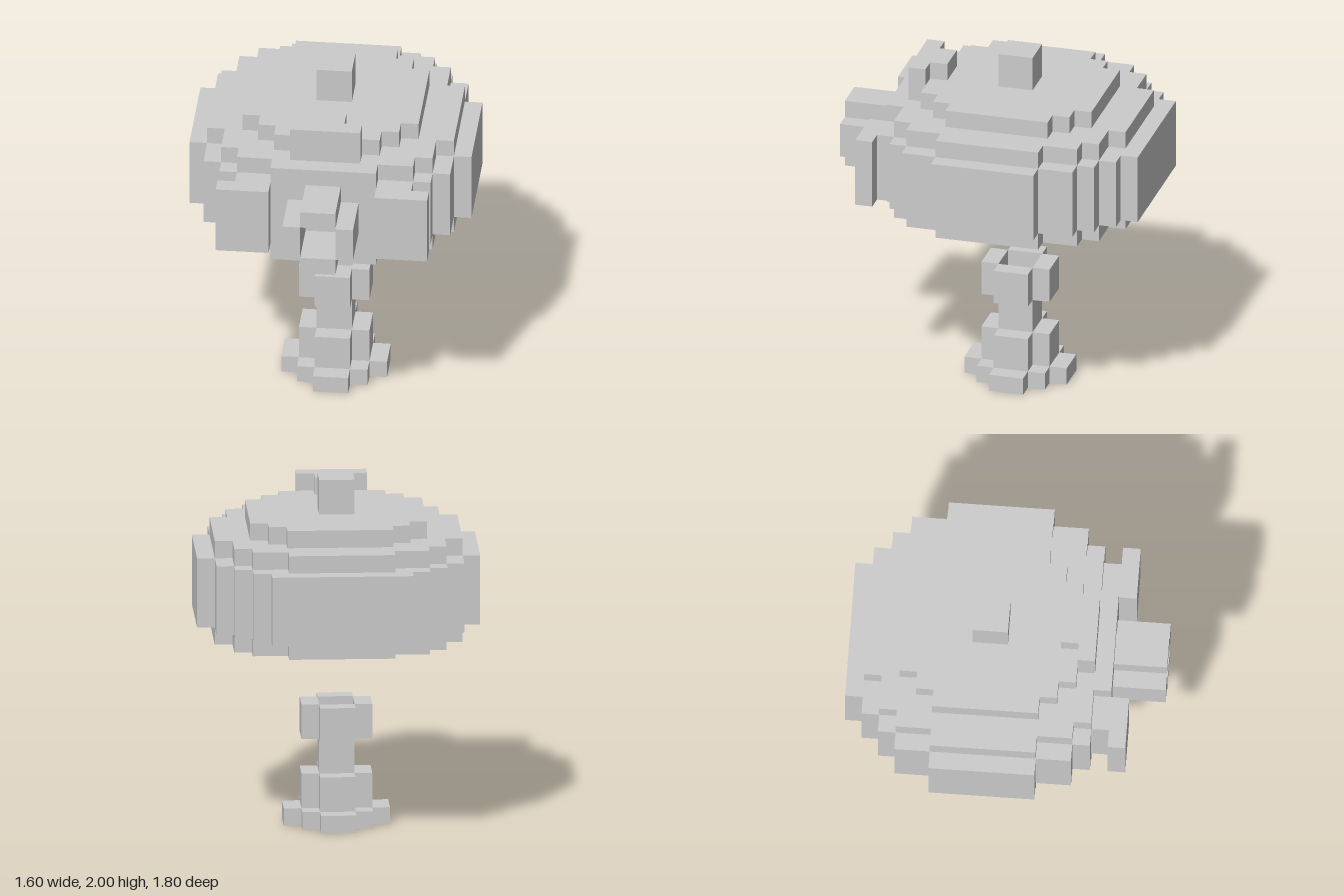
import * as THREE from 'three';

const grey = new THREE.MeshStandardMaterial({ color: 0xcccccc, flatShading: true });

// Stepped slab between heights y0 and y1. Each row is [z where it ends, half width].
function slab(name, y0, y1, zStart, rows) {
  const right = [], left = [];
  let z = zStart;
  for (const [zEnd, w] of rows) {
    right.push(new THREE.Vector2(w, -z), new THREE.Vector2(w, -zEnd));
    left.unshift(new THREE.Vector2(-w, -zEnd), new THREE.Vector2(-w, -z));
    z = zEnd;
  }
  const geo = new THREE.ExtrudeGeometry(new THREE.Shape([...right, ...left]), {
    depth: y1 - y0, bevelEnabled: false,
  });
  geo.rotateX(-Math.PI / 2).translate(0, y0, 0);
  const mesh = new THREE.Mesh(geo, grey);
  mesh.name = name;
  return mesh;
}

// Box given by its two opposite corners
function block(name, x0, x1, y0, y1, z0, z1) {
  const geo = new THREE.BoxGeometry(x1 - x0, y1 - y0, z1 - z0);
  geo.translate((x0 + x1) / 2, (y0 + y1) / 2, (z0 + z1) / 2);
  const mesh = new THREE.Mesh(geo, grey);
  mesh.name = name;
  return mesh;
}

// Four blocks around a square hole, running along +y from 0 to length
function blockRing(name, length) {
  const ring = new THREE.Group();
  ring.name = name;
  for (let i = 0; i < 4; i++) {
    const wall = block(name + 'Wall', 0.1, 0.2, 0, length, -0.1, 0.1);
    wall.rotation.y = (i * Math.PI) / 2;
    ring.add(wall);
  }
  return ring;
}

export function createModel() {
  const model = new THREE.Group();
  model.name = 'blockModel';

  // Stand: stepped foot, plinth, column and hollow cup
  model.add(slab('foot', 0, 0.1, -0.4, [[-0.3, 0.1], [-0.2, 0.2], [0, 0.3], [0.1, 0.2], [0.2, 0.1]]));
  model.add(slab('plinth', 0.1, 0.3, -0.3, [[-0.2, 0.1], [0, 0.2], [0.1, 0.1]]));
  model.add(block('column', -0.1, 0.1, 0.3, 0.6, -0.2, 0));
  const cup = blockRing('cup', 0.2);
  cup.position.set(0, 0.5, -0.1);
  model.add(cup);

  // Round body: wide middle with a narrower layer below and above
  const narrow = [[-0.7, 0.3], [-0.6, 0.5], [-0.4, 0.6], [0.2, 0.7], [0.4, 0.6], [0.5, 0.5], [0.6, 0.3]];
  model.add(slab('bodyBottom', 1.1, 1.2, -0.8, narrow));
  model.add(slab('bodyMiddle', 1.2, 1.6, -0.9, [
    [-0.8, 0.4], [-0.7, 0.5], [-0.6, 0.6], [-0.4, 0.7], [0.2, 0.8],
    [0.4, 0.7], [0.5, 0.6], [0.6, 0.5],
  ]));
  model.add(slab('bodyTop', 1.6, 1.7, -0.8, narrow));
  model.add(slab('cap', 1.7, 1.8, -0.6, [
    [-0.5, 0.3], [-0.4, 0.4], [0.2, 0.5], [0.3, 0.4], [0.4, 0.3],
  ]));
  model.add(block('topKnob', -0.1, 0.1, 1.8, 2, -0.2, 0));

  // Crest on the front edge of the cap
  model.add(block('crestFront', -0.2, 0.2, 1.7, 1.9, 0.4, 0.5));
  model.add(block('crestBack', -0.1, 0.1, 1.8, 1.9, 0.3, 0.4));

  // Front panels on both sides of the nozzle
  model.add(block('leftPanel', 0.3, 0.6, 1.2, 1.6, 0.6, 0.7));
  model.add(block('rightPanel', -0.6, -0.3, 1.2, 1.6, 0.6, 0.7));

  // Hollow nozzle pointing forward
  const nozzle = blockRing('nozzle', 0.3);
  nozzle.rotation.x = Math.PI / 2;
  nozzle.position.set(0, 1.4, 0.6);
  model.add(nozzle);

  return model;
}
